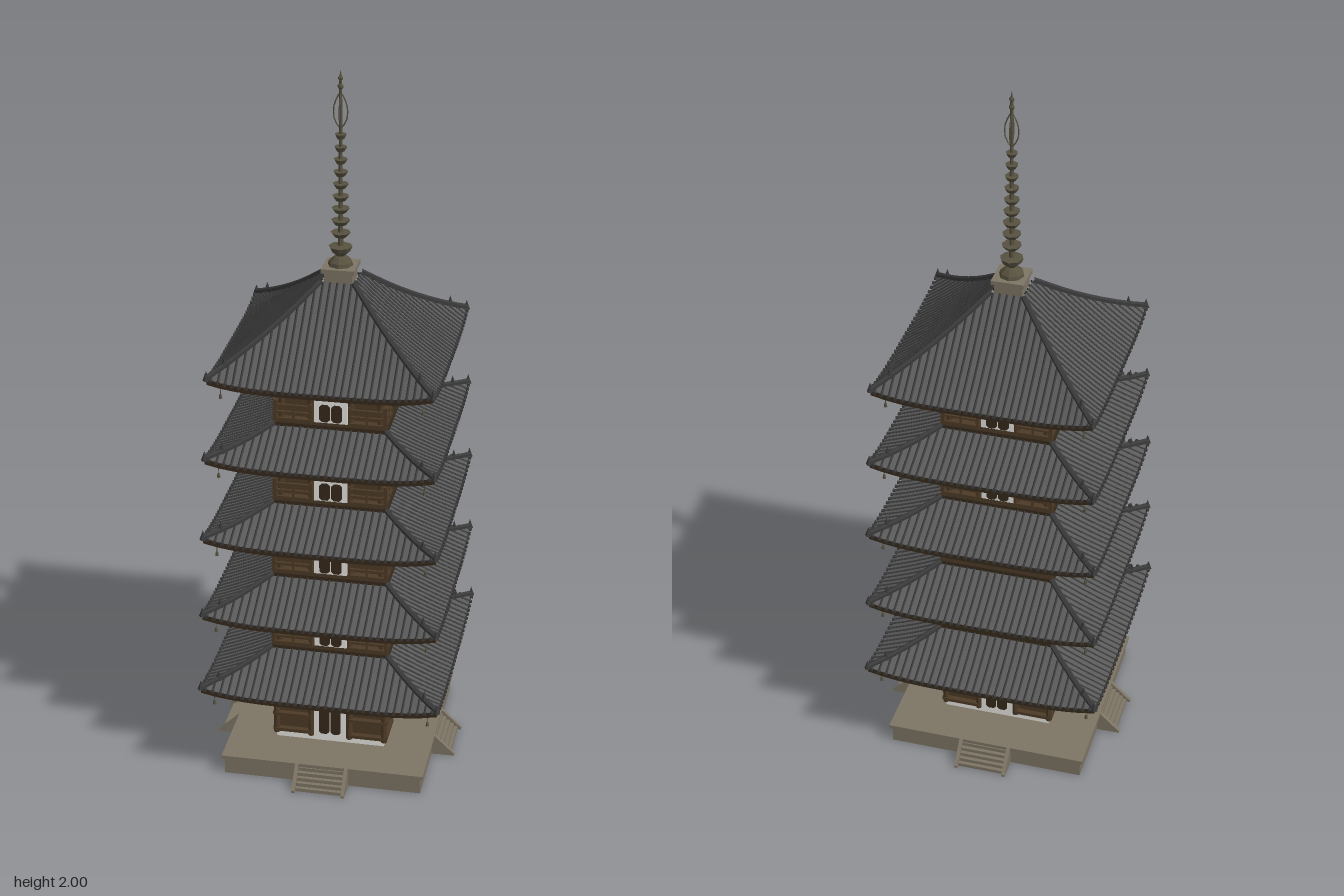
import * as THREE from 'three';
import { mergeGeometries } from 'three/addons/utils/BufferGeometryUtils.js';
import { ParametricGeometry } from 'three/addons/geometries/ParametricGeometry.js';

const mat = (name, color) => Object.assign(new THREE.MeshStandardMaterial({ color }), { name });
const V = (x, y, z) => new THREE.Vector3(x, y, z);

// box given by its centre and size
const box = (x, y, z, w, h, d) => new THREE.BoxGeometry(w, h, d).translate(x, y, z);
const rod = (x, y, z, r, h, sides = 8) => new THREE.CylinderGeometry(r, r, h, sides).translate(x, y, z);
const tube = (pts, r, segs, sides = 4) =>
  new THREE.TubeGeometry(new THREE.CatmullRomCurve3(pts), segs, r, sides);

// merge pieces into one flat-faced mesh
function part(parent, name, material, geos) {
  const flat = geos.map((g) => {
    const n = g.index ? g.toNonIndexed() : g;
    n.deleteAttribute('uv');
    n.computeVertexNormals();
    return n;
  });
  const mesh = new THREE.Mesh(mergeGeometries(flat), material);
  mesh.name = name;
  parent.add(mesh);
}

// repeat the pieces of the front side on all four sides
const four = (geos) =>
  [0, 1, 2, 3].flatMap((k) => geos.map((g) => g.clone().rotateY((k * Math.PI) / 2)));

// y0 floor, w wall half-width, ye eave height, E eave half-width, yt / T roof top
const storeys = [
  { y0: 0.06, w: 0.155, ye: 0.285, E: 0.33, yt: 0.36, T: 0.165 },
  { y0: 0.36, w: 0.145, ye: 0.515, E: 0.322, yt: 0.59, T: 0.16 },
  { y0: 0.59, w: 0.142, ye: 0.75, E: 0.316, yt: 0.815, T: 0.157 },
  { y0: 0.815, w: 0.138, ye: 0.985, E: 0.308, yt: 1.05, T: 0.153 },
  { y0: 1.05, w: 0.135, ye: 1.215, E: 0.3, yt: 1.425, T: 0.045 },
];

export function createModel() {
  const model = new THREE.Group();
  model.name = 'pagoda';
  const stone = mat('stone', 0x7d7564);
  const wood = mat('wood', 0x4d3b26);
  const darkWood = mat('dark wood', 0x36291b);
  const plaster = mat('white plaster', 0xf2f1ec);
  const tile = mat('roof tile', 0x5a5a5b);
  const ribTile = mat('rib tile', 0x3a3a3b);
  const bronze = mat('bronze', 0x57513f);

  // stone platform with a stair on each side
  const base = new THREE.Group();
  base.name = 'base';
  model.add(base);
  part(base, 'platform', stone, [box(0, 0.026, 0, 0.56, 0.052, 0.56), box(0, 0.055, 0, 0.575, 0.01, 0.575)]);
  const stairs = [];
  for (let i = 0; i < 5; i++) {
    const h = 0.05 - i * 0.01;
    stairs.push(box(0, h / 2, 0.285 + i * 0.011, 0.13, h, 0.012));
  }
  const cheek = new THREE.Shape([[0.28, 0], [0.345, 0], [0.345, 0.006], [0.288, 0.06], [0.28, 0.06]]
    .map(([a, b]) => new THREE.Vector2(a, b)));
  for (const x of [-0.075, 0.065])
    stairs.push(new THREE.ExtrudeGeometry(cheek, { depth: 0.01, bevelEnabled: false })
      .rotateY(-Math.PI / 2).translate(x + 0.01, 0, 0));
  part(base, 'stairs', stone, four(stairs));
  part(base, 'plasterFooting', plaster, [box(0, 0.068, 0, 0.31, 0.016, 0.31)]);

  storeys.forEach((s, i) => {
    const g = new THREE.Group();
    g.name = 'storey' + (i + 1);
    model.add(g);
    addBody(g, s, i);
    addRoof(g, s, i);
  });
  addSpire(model);
  return model;

  function addBody(g, { y0, w, ye, E }, i) {
    const floor = i ? y0 : 0.075;
    const top = ye + 0.035;
    // walls, posts and tie beams
    part(g, 'walls', wood, [box(0, (floor + top) / 2, 0, 2 * w - 0.01, top - floor, 2 * w - 0.01)]);
    const frame = [];
    for (const x of [-w, -0.055, 0.055]) frame.push(rod(x, (floor + top) / 2, w, 0.009, top - floor));
    const doorH = i ? 0.082 : 0.115;
    for (const side of [-1, 1])
      for (const y of [0.012, doorH * 0.55])
        frame.push(box(side * (w + 0.06) / 2, floor + y, w, w - 0.05, 0.01, 0.02));
    frame.push(box(0, floor + doorH + 0.006, w, 2 * w + 0.02, 0.012, 0.022));
    part(g, 'postsAndBeams', wood, four(frame));

    // white door surround with two dark leaves
    part(g, 'doorSurround', plaster, four([box(0, floor + doorH / 2, w + 0.001, 0.092, doorH, 0.008)]));
    const leaves = [];
    const lh = i ? 0.05 : 0.08;
    for (const x of [-0.0165, 0.0165]) {
      const c = 0.007, a = 0.0145, b = lh / 2;
      const leaf = new THREE.Shape([[-a + c, -b], [a - c, -b], [a, -b + c], [a, b - c],
        [a - c, b], [-a + c, b], [-a, b - c], [-a, -b + c]].map((p) => new THREE.Vector2(...p)));
      leaves.push(new THREE.ExtrudeGeometry(leaf, { depth: 0.005, bevelEnabled: false })
        .translate(x, floor + 0.012 + b, w + 0.004));
    }
    part(g, 'doors', darkWood, four(leaves));

    // stepped brackets carrying the eaves
    const brackets = [];
    const low = i ? ye - 0.025 : ye - 0.075;
    const rise = (ye - 0.008 - low) / 3;
    for (let k = 0; k < 3; k++) {
      const out = w + 0.022 * (k + 1), y = low + rise * (k + 0.7);
      brackets.push(box(0, y, out, 2 * out + 0.03, 0.008, 0.01));
      for (const x of [-w, -0.055, 0.055, w])
        brackets.push(box(x, y - 0.006, (w + out) / 2, 0.014, 0.01, out - w + 0.022));
    }
    for (const x of [-1, 1])
      brackets.push(box(0, 0, 0, 0.012, 0.012, 0.13).rotateY(x * Math.PI / 4)
        .translate(x * (w + 0.04), low + rise * 2, w + 0.04));
    part(g, 'brackets', wood, four(brackets));

    // balcony with a rail that opens at the door
    if (!i) return;
    const b = w + 0.015;
    const rail = [];
    for (const side of [-1, 1]) {
      const mid = side * (b + 0.05) / 2;
      for (const y of [0.016, 0.036, 0.056]) rail.push(box(mid, y0 + y, b, b - 0.05, 0.006, 0.007));
      rail.push(box(side * 0.053, y0 + 0.032, b, 0.007, 0.064, 0.008));
      rail.push(box(mid, y0 + 0.03, b, 0.006, 0.056, 0.006));
    }
    rail.push(box(b, y0 + 0.035, b, 0.01, 0.074, 0.01));
    part(g, 'balconyRail', wood, four(rail));
    part(g, 'balconyFloor', darkWood, [box(0, y0 + 0.002, 0, 2 * b + 0.016, 0.012, 2 * b + 0.016)]);
  }

  function addRoof(g, { w, ye, E, yt, T }, i) {
    const lift = (u, v) => 0.02 * Math.abs(u) ** 4 * (1 - v) ** 2;
    const roofY = (u, v) => ye + (yt - ye) * (0.82 * v + 0.18 * v * v) + lift(u, v);
    const onRoof = (x, z, up = 0) => V(x, roofY(x / z, (E - z) / (E - T)) + up, z);
    const across = (u) => 2 * u - 1;

    // tiled slopes
    part(g, 'roofSlopes', tile, four([new ParametricGeometry((u, v, p) => {
      const h = E + (T - E) * v;
      p.set(across(u) * h, roofY(across(u), v), h);
    }, 16, 6)]));

    // tile ribs and their round ends along the eave
    const ribs = [], ends = [];
    const n = 15;
    for (let k = -n; k <= n; k++) {
      const x = (k / n) * (E - 0.012);
      const zi = Math.max(Math.abs(x) + 0.002, T);
      const pts = [0, 0.33, 0.67, 1].map((t) => onRoof(x, E + 0.002 + (zi - E - 0.002) * t, 0.001));
      ribs.push(tube(pts, 0.0032, 4));
      ends.push(new THREE.CylinderGeometry(0.0055, 0.0055, 0.008, 6).rotateX(Math.PI / 2)
        .translate(x, roofY(x / E, 0), E + 0.003));
    }
    part(g, 'tileRibs', ribTile, four(ribs));
    part(g, 'tileEnds', ribTile, four(ends));

    // hip ridges with upturned corner ornaments
    const hip = [0, 0.2, 0.45, 0.7, 1].map((t) => {
      const z = E + (T - E) * t;
      return onRoof(z, z, 0.003);
    });
    const k = E - (E - T) * (i === 4 ? 0.16 : 0.25);
    part(g, 'hipRidges', ribTile, four([
      tube(hip, 0.008, 8, 6),
      new THREE.ConeGeometry(0.01, 0.03, 5).translate(k, onRoof(k, k).y + 0.014, k),
      new THREE.ConeGeometry(0.01, 0.028, 5).translate(E, onRoof(E, E).y + 0.01, E),
    ]));

    // wooden eave edge and sloping soffit
    part(g, 'eaveEdge', darkWood, four([new ParametricGeometry((u, v, p) => {
      const a = across(u);
      p.set(a * E, ye + lift(a, 0) - 0.016 * (1 - v), E);
    }, 16, 1)]));
    const soffitY = (u, t) => ye + 0.02 - 0.036 * t + lift(u, 0) * t * t;
    part(g, 'soffit', wood, four([new ParametricGeometry((u, t, p) => {
      const h = w - 0.01 + (E - w + 0.01) * t, a = across(u);
      p.set(a * h, soffitY(a, t), h);
    }, 16, 3)]));

    // rafters
    const rafters = [];
    for (let j = -12; j <= 12; j++) {
      const x = (j / 12) * (E - 0.02);
      const z0 = Math.max(w, Math.abs(x));
      const at = (z) => V(x, soffitY(x / z, (z - w) / (E - w)) - 0.002, z);
      rafters.push(tube([at(z0), at((z0 + E) / 2), at(E - 0.004)], 0.0045, 2));
    }
    part(g, 'rafters', darkWood, four(rafters));

    // wind bells under the corners
    const c = E - 0.03;
    part(g, 'windBells', bronze, four([
      rod(c, ye - 0.02, c, 0.001, 0.03, 4),
      new THREE.CylinderGeometry(0.003, 0.005, 0.012, 6).translate(c, ye - 0.04, c),
    ]));
  }

  function addSpire(parent) {
    const g = new THREE.Group();
    g.name = 'spire';
    parent.add(g);
    part(g, 'spireBase', stone, [box(0, 1.436, 0, 0.076, 0.036, 0.076), box(0, 1.456, 0, 0.09, 0.012, 0.09)]);
    // dome, waist and flower bowl
    const profile = [[0.001, 1.46], [0.035, 1.46], [0.032, 1.472], [0.02, 1.484], [0.012, 1.489],
      [0.026, 1.502], [0.032, 1.515], [0.008, 1.517], [0.007, 1.54]];
    part(g, 'bowl', bronze, [new THREE.LatheGeometry(profile.map((p) => new THREE.Vector2(...p)), 8)]);
    part(g, 'mast', bronze, [new THREE.CylinderGeometry(0.004, 0.007, 0.45, 6).translate(0, 1.745, 0)]);
    // nine rings
    const rings = [];
    for (let k = 0; k < 9; k++) {
      const r = 0.027 - k * 0.0014;
      rings.push(new THREE.CylinderGeometry(r, r * 0.6, 0.013, 8).translate(0, 1.548 + k * 0.034, 0));
    }
    part(g, 'rings', bronze, rings);
    // openwork flame: crossed outlined leaves
    const flame = [];
    for (const a of [0, 1, 2, 3]) {
      const pts = [V(0, 1.84, 0), V(0.016, 1.865, 0), V(0.017, 1.905, 0), V(0.004, 1.935, 0)];
      flame.push(tube(pts, 0.0018, 6).rotateY((a * Math.PI) / 2));
    }
    part(g, 'flame', bronze, flame);
    // jewels at the tip
    part(g, 'jewels', bronze, [
      new THREE.SphereGeometry(0.008, 6, 5).translate(0, 1.955, 0),
      new THREE.SphereGeometry(0.007, 6, 5).translate(0, 1.977, 0),
      new THREE.ConeGeometry(0.004, 0.02, 6).translate(0, 1.99, 0),
    ]);
  }
}
